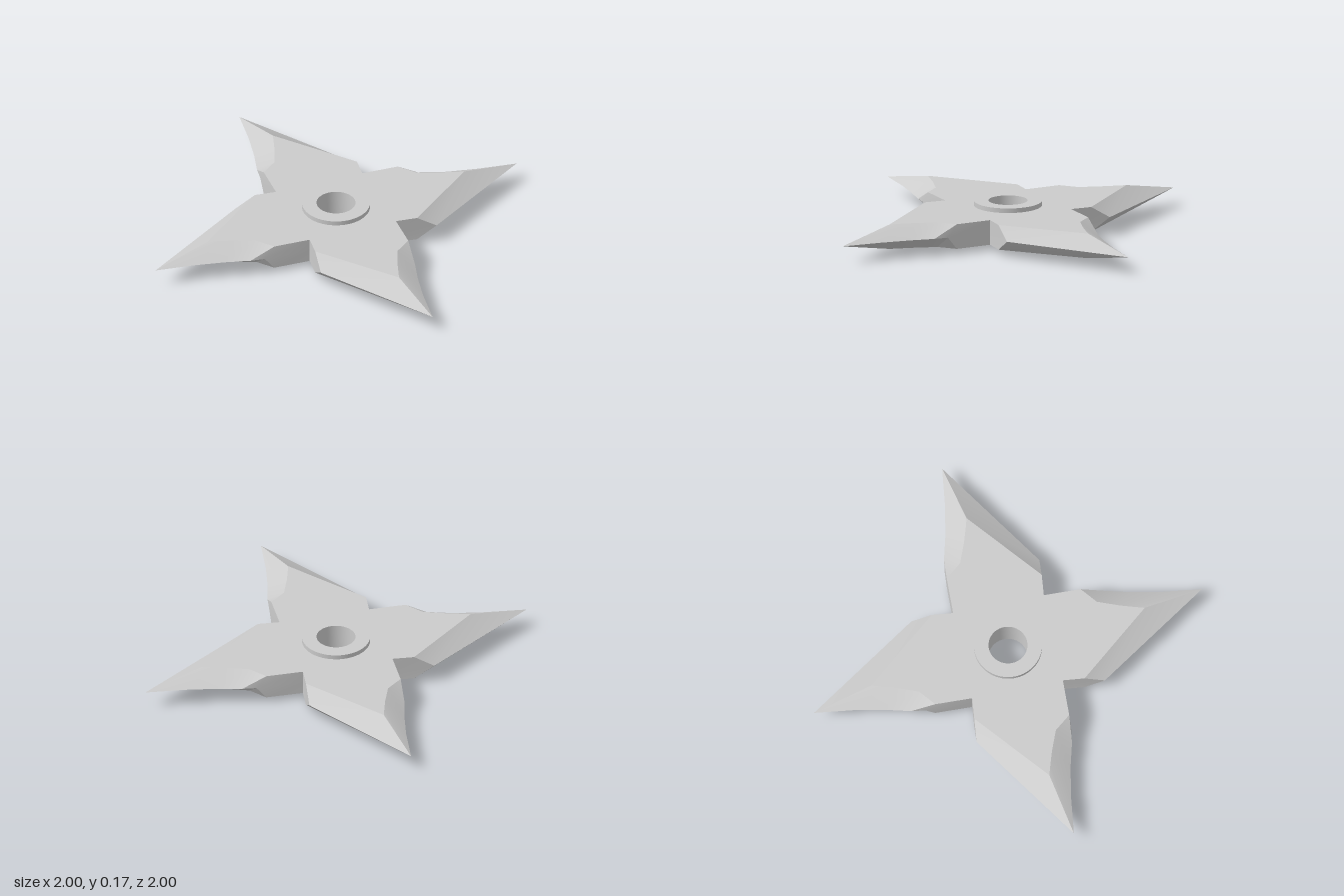
import * as THREE from 'three';
import { mergeGeometries, toCreasedNormals } from 'three/addons/utils/BufferGeometryUtils.js';

const LOW = 0.025, MID = 0.088, HIGH = 0.15, HEIGHT = 0.173;

// One arm as [x, z] pairs: the sharp edge at mid height, and the rim of the flat face
const EDGE = [[0.226, -0.23], [0.46, -0.225], [0.53, -0.215], [0.65, -0.184], [0.8, -0.155], [1, -0.13], [0.437, 0.245]];
const RIM = [[0.226, -0.23], [0.41, -0.225], [0.475, -0.145], [0.58, -0.104], [0.65, -0.082], [0.7, -0.067], [0.337, 0.237]];

// Repeat an arm by quarter turns into a closed outline
function outline(arm) {
  const points = [];
  for (let k = 0; k < 4; k++) {
    for (const [x, z] of arm) {
      let p = [x, z];
      for (let i = 0; i < k; i++) p = [-p[1], p[0]];
      points.push(p);
    }
  }
  return points;
}

// Bevelled wall joining two outlines, upper one first
function band(upper, yUpper, lower, yLower) {
  const pos = [];
  const n = upper.length;
  for (let i = 0; i < n; i++) {
    const j = (i + 1) % n;
    const a = [upper[i][0], yUpper, upper[i][1]];
    const b = [upper[j][0], yUpper, upper[j][1]];
    const c = [lower[j][0], yLower, lower[j][1]];
    const d = [lower[i][0], yLower, lower[i][1]];
    pos.push(...a, ...b, ...c, ...a, ...c, ...d);
  }
  const g = new THREE.BufferGeometry();
  g.setAttribute('position', new THREE.Float32BufferAttribute(pos, 3));
  return g;
}

// Flat face with a round opening; side is 1 for the top and -1 for the bottom
function face(points, y, side) {
  const shape = new THREE.Shape(points.map(([x, z]) => new THREE.Vector2(x, -side * z)));
  shape.holes.push(new THREE.Path().absarc(0, 0, 0.13, 0, Math.PI * 2, true));
  const g = new THREE.ShapeGeometry(shape, 24).toNonIndexed();
  g.rotateX(-side * Math.PI / 2).translate(0, y, 0);
  g.deleteAttribute('uv');
  g.deleteAttribute('normal');
  return g;
}

export function createModel() {
  const group = new THREE.Group();
  group.name = 'throwingStar';
  const material = new THREE.MeshStandardMaterial({ color: 0xcccccc });

  // Four-armed blade, bevelled on both sides
  const edge = outline(EDGE), rim = outline(RIM);
  const bladeGeometry = mergeGeometries([
    band(rim, HIGH, edge, MID),
    band(edge, MID, rim, LOW),
    face(rim, HIGH, 1),
    face(rim, LOW, -1),
  ]);
  const blade = new THREE.Mesh(toCreasedNormals(bladeGeometry, 0.4), material);
  blade.name = 'blade';

  // Raised ring around the centre hole
  const profile = [[0.096, 0], [0.168, 0], [0.168, HEIGHT], [0.096, HEIGHT], [0.096, 0]]
    .map(([r, y]) => new THREE.Vector2(r, y));
  const ring = new THREE.Mesh(toCreasedNormals(new THREE.LatheGeometry(profile, 48), 0.5), material);
  ring.name = 'centreRing';

  group.add(blade, ring);
  group.position.x = -0.005;
  return group;
}
